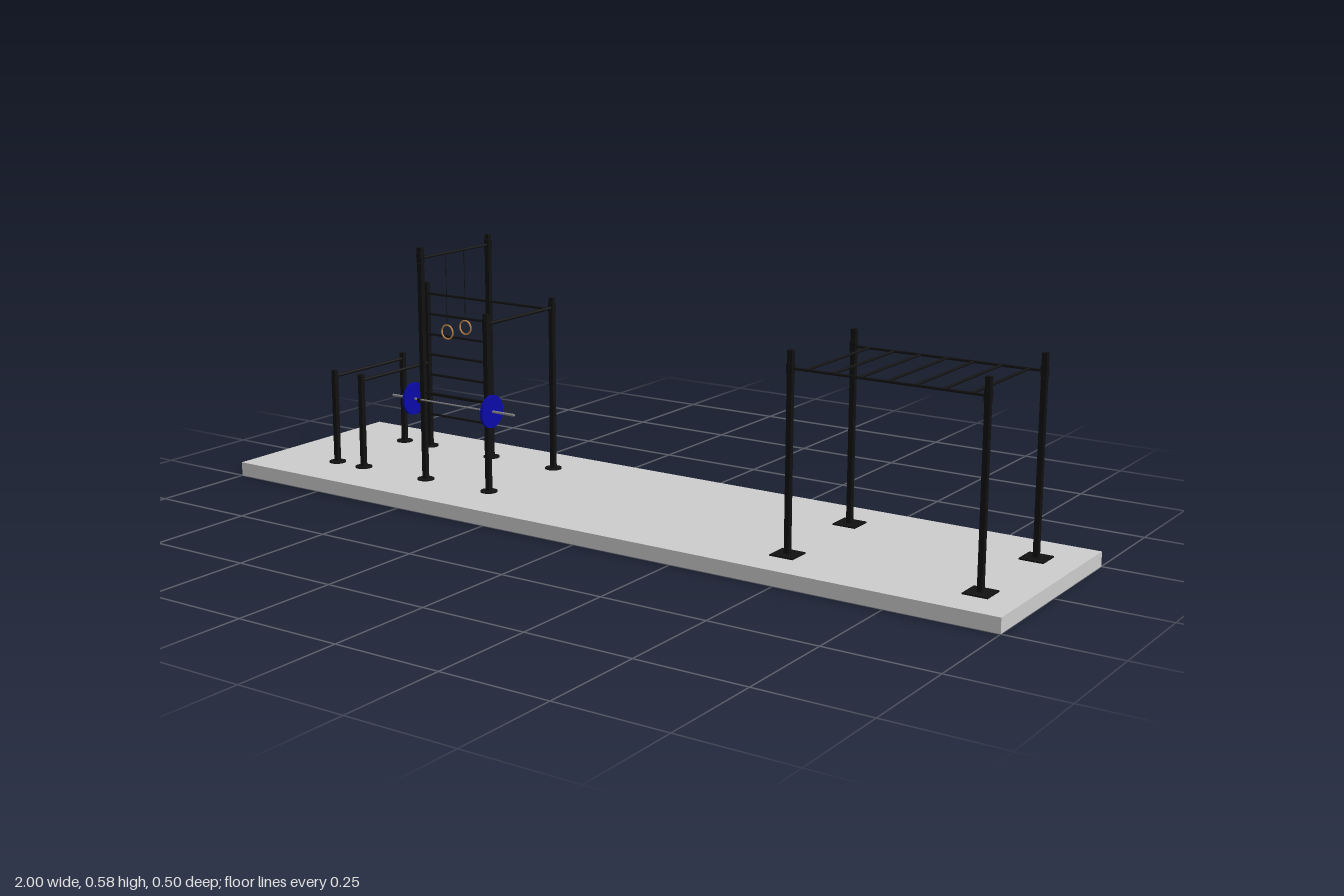
import * as THREE from 'three';

const mat = (color) => new THREE.MeshStandardMaterial({ color });
const FLOOR = 0.033, FRONT = 0.115, BACK = -0.133, W = 0.0115;

export function createModel() {
  const root = new THREE.Group();
  const black = mat(0x111111), grey = mat(0xcccccc), blue = mat(0x0a0aa8);
  const wood = mat(0xc68a4a), steel = mat(0x888888);

  const add = (parent, name, geo, material, x = 0, y = 0, z = 0) => {
    const m = new THREE.Mesh(geo, material);
    m.name = name;
    m.position.set(x, y, z);
    parent.add(m);
    return m;
  };

  // Round bar between two points
  const bar = (parent, name, a, b, r, material = black) => {
    const p = new THREE.Vector3(...a), q = new THREE.Vector3(...b);
    const d = q.clone().sub(p);
    const m = add(parent, name, new THREE.CylinderGeometry(r, r, d.length(), 12), material);
    m.position.copy(p).add(q).multiplyScalar(0.5);
    m.quaternion.setFromUnitVectors(new THREE.Vector3(0, 1, 0), d.normalize());
    return m;
  };

  // Square upright with a row of drilled holes running through it along x
  const uprightGeometry = (h) => {
    const s = new THREE.Shape();
    s.moveTo(-W / 2, 0).lineTo(W / 2, 0).lineTo(W / 2, h).lineTo(-W / 2, h).closePath();
    for (let y = 0.03; y < h - 0.008; y += 0.02) {
      const hole = new THREE.Path();
      hole.absarc(0, y, 0.0014, 0, Math.PI * 2, true);
      s.holes.push(hole);
    }
    const g = new THREE.ExtrudeGeometry(s, { depth: W, bevelEnabled: false, curveSegments: 4 });
    return g.translate(0, 0, -W / 2).rotateY(Math.PI / 2);
  };

  const post = (parent, x, z, top, squareBase) => {
    add(parent, 'upright', uprightGeometry(top - FLOOR), black, x, FLOOR, z);
    const base = squareBase
      ? new THREE.BoxGeometry(0.055, 0.003, 0.055)
      : new THREE.CylinderGeometry(0.02, 0.02, 0.003, 24);
    add(parent, 'basePlate', base, black, x, FLOOR + 0.0015, z);
  };

  // Clamp plate with two bolts where a bar meets an upright
  const bracket = (parent, x, y, z) => {
    add(parent, 'bracket', new THREE.BoxGeometry(W + 0.002, 0.022, W + 0.002), black, x, y, z);
    for (const s of [-1, 1])
      bar(parent, 'bracketBolt', [x, y + s * 0.013, z - 0.008], [x, y + s * 0.013, z + 0.008], 0.0018);
  };

  // Floor slab
  add(root, 'floorSlab', new THREE.BoxGeometry(2, FLOOR, 0.5), grey, 0, FLOOR / 2, 0);

  // Training rig: uprights as [x, back height, front height]
  const rig = new THREE.Group();
  rig.name = 'trainingRig';
  root.add(rig);
  const X = { low: -0.81, wall: -0.725, tall: -0.53, end: -0.34 };
  [[X.low, 0.262, 0.262], [X.wall, 0.45, 0.262], [X.tall, 0.585, 0.585], [X.end, 0.45, 0.45]]
    .forEach(([x, back, front]) => {
      post(rig, x, BACK, back);
      post(rig, x, FRONT, front);
    });

  // Bars running front to back
  [['dipBar', X.low, 0.247, 0.004], ['dipBar', X.wall, 0.247, 0.004],
    ['pullUpBar', X.tall, 0.56, 0.003], ['pullUpBar', X.end, 0.426, 0.004]]
    .forEach(([name, x, y, r]) => {
      bar(rig, name, [x, y, BACK], [x, y, FRONT], r);
      if (name === 'pullUpBar') [BACK, FRONT].forEach((z) => bracket(rig, x, y, z));
    });

  // Wall ladder and side rails
  for (let i = 0; i < 7; i++) {
    const y = 0.422 - i * 0.051;
    bar(rig, 'ladderRung', [X.wall, y, BACK], [X.tall, y, BACK], 0.003);
  }
  bar(rig, 'lowRail', [X.low, 0.116, BACK], [X.wall, 0.116, BACK], 0.003);
  bar(rig, 'backRail', [X.tall, 0.422, BACK], [X.end, 0.422, BACK], 0.003);
  bar(rig, 'frontRail', [X.tall, 0.244, FRONT], [X.end, 0.244, FRONT], 0.003);

  // Hanging rings
  for (const z of [0.025, -0.042]) {
    const ring = new THREE.Group();
    ring.name = 'gymRing';
    rig.add(ring);
    add(ring, 'ringHoop', new THREE.TorusGeometry(0.0165, 0.002, 10, 32), wood, X.tall, 0.372, z);
    bar(ring, 'ringStrap', [X.tall, 0.388, z], [X.tall, 0.56, z], 0.0008);
  }

  // Barbell resting on hooks
  const barbell = new THREE.Group();
  barbell.name = 'barbell';
  root.add(barbell);
  const by = 0.228, bz = 0.126, mid = -0.435;
  bar(barbell, 'barbellShaft', [mid - 0.18, by, bz], [mid + 0.18, by, bz], 0.002, steel);
  for (const s of [-1, 1]) {
    const at = (d) => [mid + s * d, by, bz];
    bar(barbell, 'barbellSleeve', at(0.108), at(0.18), 0.0032, steel);
    const plate = bar(barbell, 'weightPlate', at(0.112), at(0.119), 0.038, blue);
    plate.geometry = new THREE.CylinderGeometry(0.038, 0.038, 0.007, 40);
    const hx = s < 0 ? X.tall : X.end;
    add(barbell, 'hookArm', new THREE.BoxGeometry(0.008, 0.004, 0.018), black, hx, by - 0.004, FRONT + 0.01);
    add(barbell, 'hookLip', new THREE.BoxGeometry(0.008, 0.01, 0.003), black, hx, by - 0.001, FRONT + 0.019);
  }

  // Monkey bars
  const monkey = new THREE.Group();
  monkey.name = 'monkeyBars';
  root.add(monkey);
  const mx = [0.47, 0.906], mz = [-0.128, 0.14], my = 0.429;
  for (const z of mz) {
    for (const x of mx) {
      post(monkey, x, z, 0.467, true);
      bracket(monkey, x, my, z);
    }
    bar(monkey, 'sideRail', [mx[0], my, z], [mx[1], my, z], 0.003);
  }
  for (let i = 0; i < 7; i++) {
    const x = 0.505 + i * 0.061;
    bar(monkey, 'monkeyRung', [x, my, mz[0]], [x, my, mz[1]], 0.003);
  }

  return root;
}
